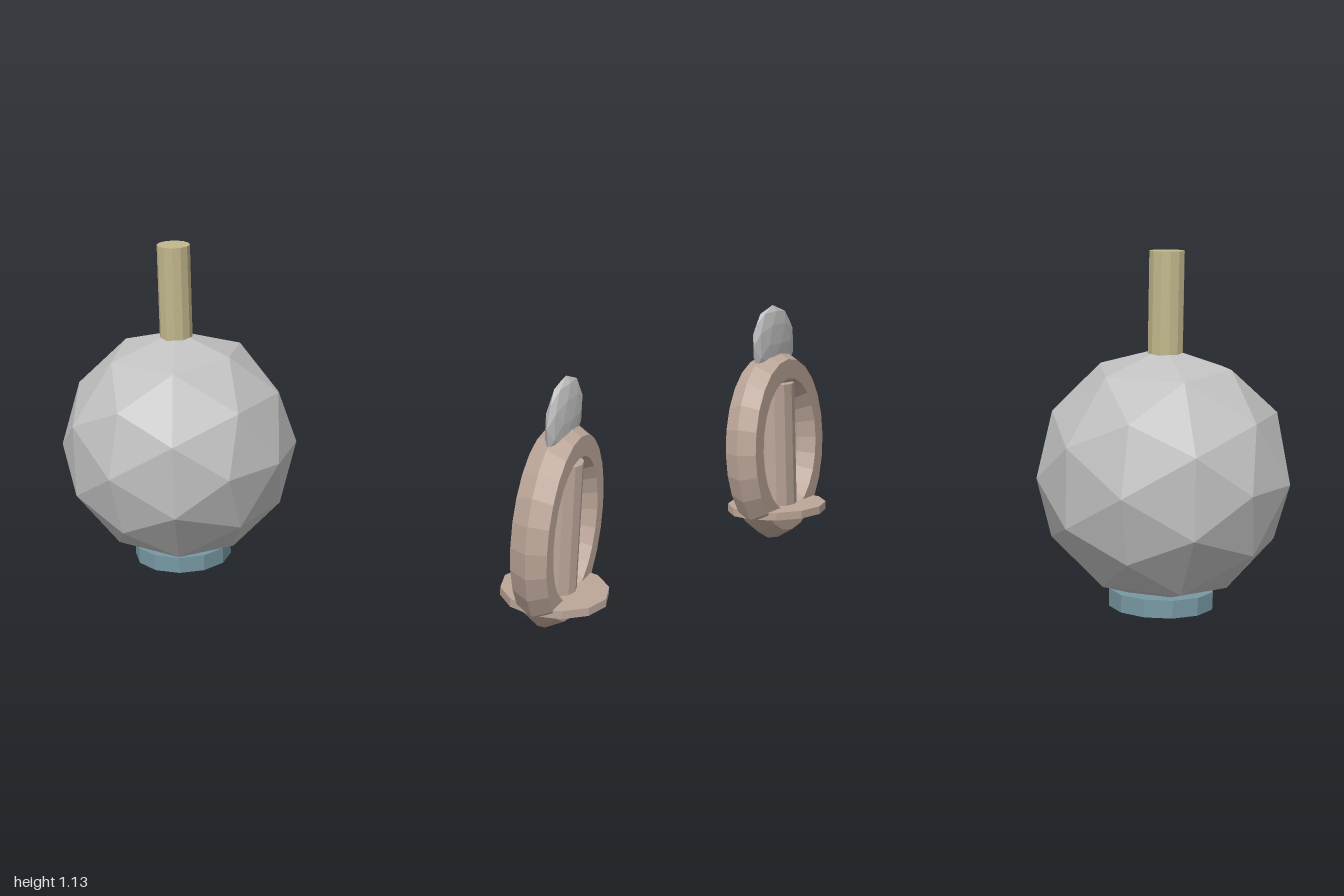
import * as THREE from 'three';

const makeMaterial = (name, color) => {
  const m = new THREE.MeshStandardMaterial({ color, flatShading: true });
  m.name = name;
  return m;
};

export function createModel() {
  const grey = makeMaterial('light grey', 0xc0c0c0);
  const khaki = makeMaterial('khaki', 0xc2b78c);
  const brown = makeMaterial('dusty brown', 0xbca699);
  const teal = makeMaterial('slate teal', 0x7798a3);

  const model = new THREE.Group();
  const add = (parent, name, geometry, material, x, y) => {
    const mesh = new THREE.Mesh(geometry, material);
    mesh.name = name;
    mesh.position.set(x, y, 0);
    parent.add(mesh);
  };
  // Upright twelve-sided cylinder given by its bottom and top heights
  const post = (parent, name, r, bottom, top, material, x) =>
    add(parent, name, new THREE.CylinderGeometry(r, r, top - bottom, 12), material, x, (bottom + top) / 2);

  // Faceted ball on a round foot, with a neck on top
  const ball = new THREE.Group();
  ball.name = 'ballAssembly';
  const bx = -0.592;
  add(ball, 'ballBody', new THREE.IcosahedronGeometry(0.408, 1), grey, bx, 0.423);
  post(ball, 'foot', 0.17, 0, 0.057, teal, bx);
  post(ball, 'neck', 0.056, 0.75, 1.132, khaki, bx);

  // Upright oval ring with a flat crest, a central post and a round plate
  const ring = new THREE.Group();
  ring.name = 'ringAssembly';
  const rx = 0.829;
  const hoop = new THREE.TorusGeometry(0.2035, 0.051, 6, 24);
  hoop.scale(1, 1.32, 1.34).rotateY(Math.PI / 2);
  add(ring, 'ovalRing', hoop, brown, rx, 0.419);
  post(ring, 'centralPost', 0.069, 0.2, 0.635, brown, rx);
  post(ring, 'plate', 0.171, 0.181, 0.208, brown, rx);
  const crest = new THREE.IcosahedronGeometry(0.132, 1);
  crest.scale(0.23, 1, 1);
  add(ring, 'crest', crest, grey, rx, 0.775);

  model.add(ball, ring);
  return model;
}
